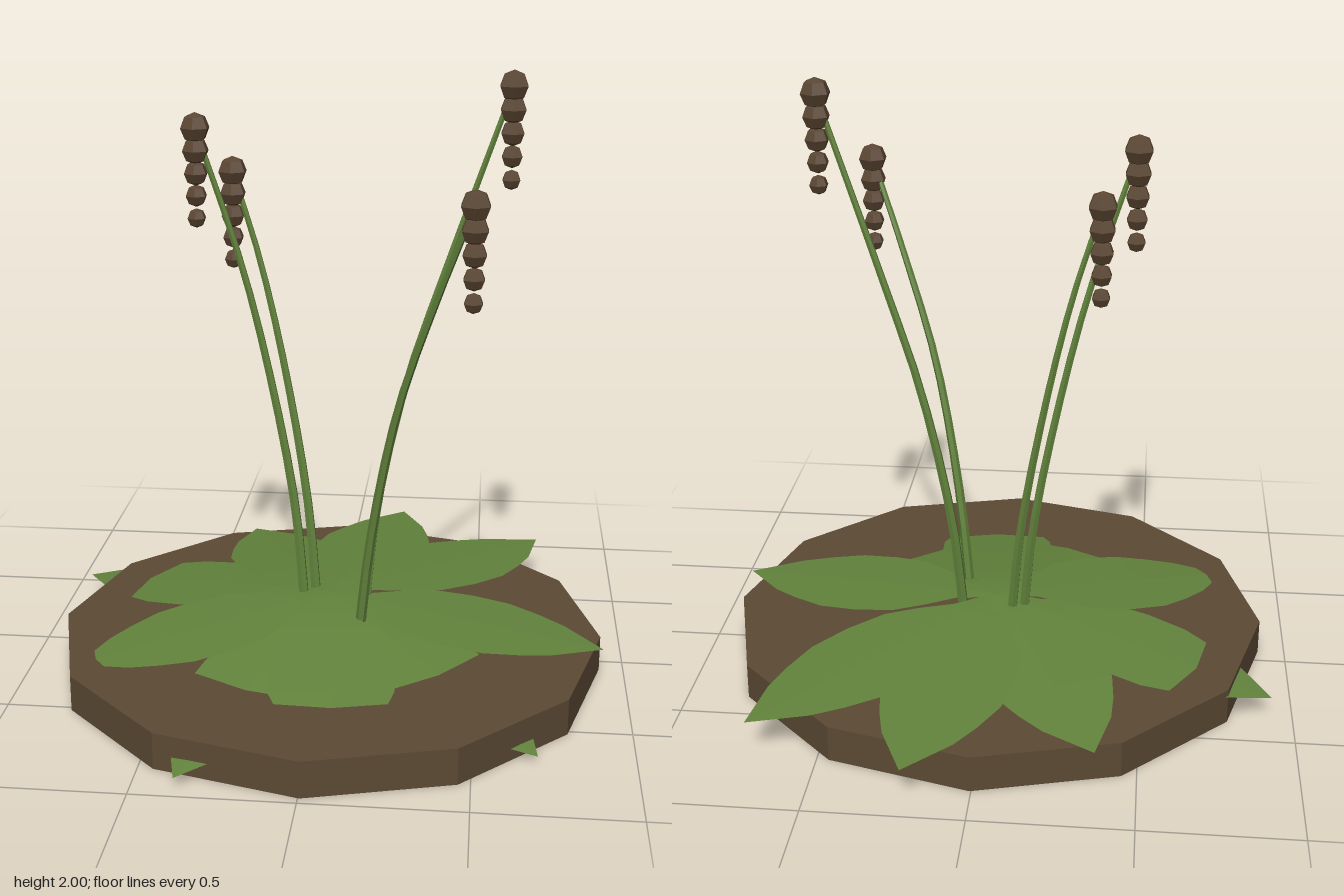
import * as THREE from 'three';

const material = (name, color, side = THREE.FrontSide) => {
  const m = new THREE.MeshStandardMaterial({ color, side, flatShading: true });
  m.name = name;
  return m;
};

// Half-width of a leaf along its length: [fraction, half-width]
const LEAF_PROFILE = [
  [0, 0.02], [0.14, 0.06], [0.24, 0.13], [0.34, 0.185], [0.48, 0.205],
  [0.62, 0.2], [0.74, 0.16], [0.84, 0.115], [1, 0],
];

// Drooping leaf: rows of left edge, midrib, right edge, running along +z
function leafGeometry(length, droop) {
  const pos = [], index = [];
  LEAF_PROFILE.forEach(([t, w], row) => {
    const r = t * length;
    const y = -droop * r * r / (r + 0.2);
    pos.push(-w, y - w * 0.025, r, 0, y, r, w, y - w * 0.025, r);
    if (row === 0) return;
    const a = (row - 1) * 3, b = row * 3;
    for (let k = 0; k < 2; k++) {
      index.push(a + k, b + k, a + k + 1, a + k + 1, b + k, b + k + 1);
    }
  });
  const g = new THREE.BufferGeometry();
  g.setAttribute('position', new THREE.Float32BufferAttribute(pos, 3));
  g.setIndex(index);
  g.computeVertexNormals();
  return g;
}

// Tube that narrows from r0 at the base to r1 at the tip
function stemGeometry(points, r0, r1) {
  const curve = new THREE.CatmullRomCurve3(points.map((p) => new THREE.Vector3(...p)));
  const segments = 12, sides = 6;
  const g = new THREE.TubeGeometry(curve, segments, 1, sides, false);
  const p = g.attributes.position, v = new THREE.Vector3();
  for (let i = 0; i < p.count; i++) {
    const t = Math.floor(i / (sides + 1)) / segments;
    const c = curve.getPointAt(t);
    v.fromBufferAttribute(p, i).sub(c).multiplyScalar(r0 + (r1 - r0) * t).add(c);
    p.setXYZ(i, v.x, v.y, v.z);
  }
  g.computeVertexNormals();
  return g;
}

export function createModel() {
  const model = new THREE.Group();
  model.name = 'plant';
  const soil = material('soil brown', 0x5c4a34);
  const green = material('leaf green', 0x62833c, THREE.DoubleSide);
  const seed = material('seed brown', 0x5a4532);

  const add = (name, geometry, mat, parent = model) => {
    const mesh = new THREE.Mesh(geometry, mat);
    mesh.name = name;
    parent.add(mesh);
    return mesh;
  };

  // Twelve-sided ground disc
  add('groundDisc', new THREE.CylinderGeometry(0.914, 0.914, 0.12, 12), soil)
    .position.set(0.005, 0.06, 0.06);

  // Rosette: tip x, tip z, droop, lift
  const leaves = new THREE.Group();
  leaves.name = 'leafRosette';
  model.add(leaves);
  [
    [0.2, -0.97, 0.085, 0.212],
    [0.72, -0.75, 0.088, 0.209],
    [-0.37, -0.79, 0.135, 0.214],
    [-0.93, -0.37, 0.155, 0.21],
    [-0.79, 0.42, 0.142, 0.215],
    [-0.37, 0.96, 0.2, 0.209],
    [0.09, 0.9, 0.19, 0.214],
    [0.7, 0.71, 0.222, 0.21],
    [0.92, 0.21, 0.085, 0.213],
  ].forEach(([x, z, droop, lift]) => {
    const leaf = add('leaf', leafGeometry(Math.hypot(x, z), droop), green, leaves);
    leaf.position.y = lift;
    leaf.rotation.y = Math.atan2(x, z);
  });

  // Four arching stems, each ending in the top bead of its seed head
  const stems = [
    [[-0.05, 0.12, -0.055], [-0.085, 0.5, -0.085], [-0.165, 0.97, -0.12], [-0.25, 1.35, -0.135], [-0.338, 1.645, -0.138]],
    [[-0.09, 0.12, -0.03], [-0.125, 0.5, -0.05], [-0.21, 0.97, -0.06], [-0.3, 1.35, -0.055], [-0.442, 1.8, -0.038]],
    [[0.115, 0.12, -0.012], [0.152, 0.5, -0.033], [0.25, 0.97, -0.036], [0.37, 1.35, -0.025], [0.573, 1.95, 0.003]],
    [[0.11, 0.12, 0.145], [0.152, 0.5, 0.188], [0.24, 0.97, 0.262], [0.36, 1.35, 0.338], [0.468, 1.648, 0.41]],
  ];
  stems.forEach((points) => {
    const stalk = new THREE.Group();
    stalk.name = 'stalk';
    model.add(stalk);
    add('stem', stemGeometry(points, 0.018, 0.009), green, stalk);

    // Hanging seed head of five shrinking beads
    const [x, y, z] = points[points.length - 1];
    for (let i = 0; i < 5; i++) {
      const bead = add('seedBead', new THREE.SphereGeometry(0.05 - i * 0.0045, 6, 4), seed, stalk);
      bead.position.set(x, y - i * 0.0735, z);
      bead.rotation.y = Math.PI / 2;
    }
  });

  return model;
}
